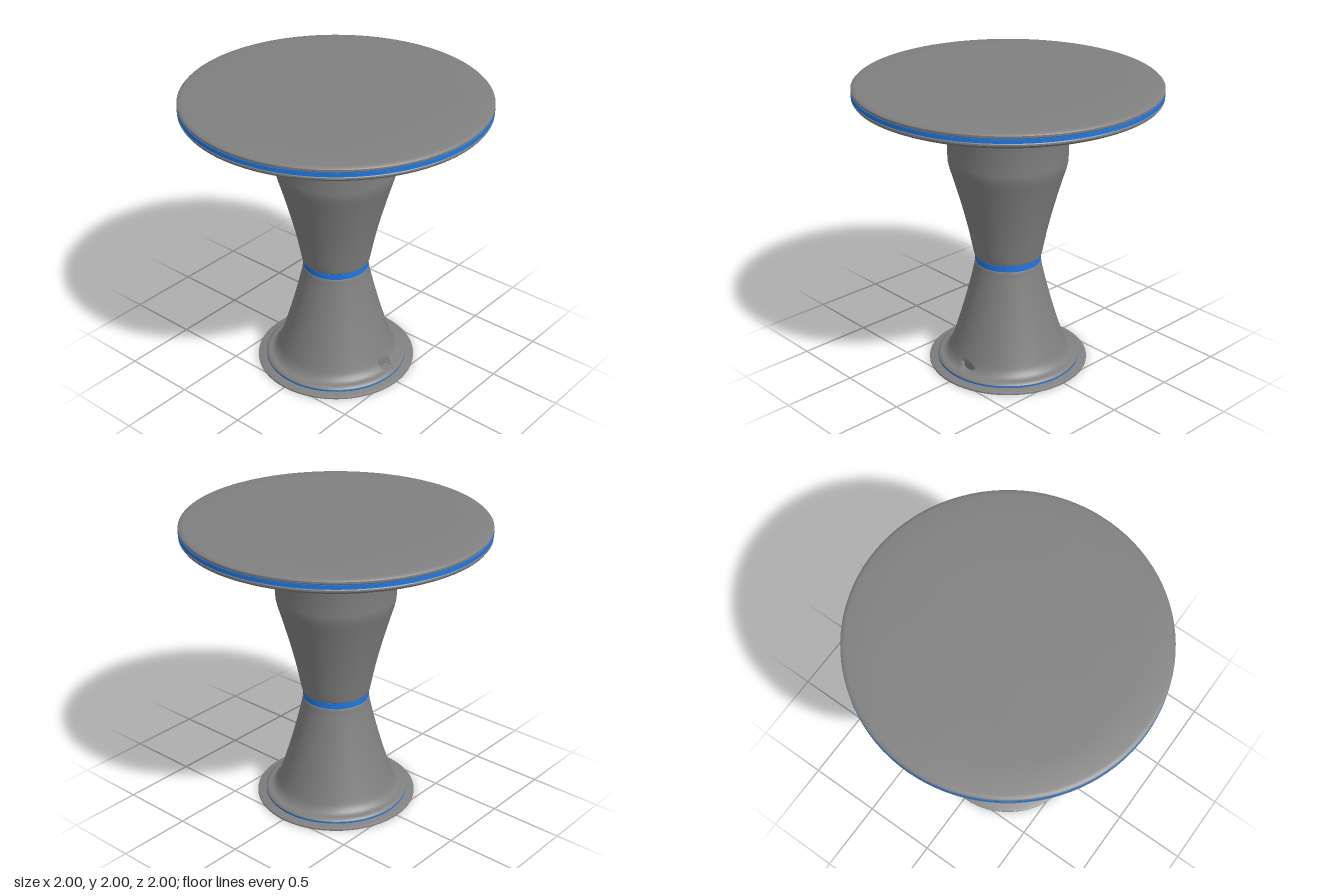
import * as THREE from 'three';
import { toCreasedNormals } from 'three/addons/utils/BufferGeometryUtils.js';

const grey = new THREE.MeshStandardMaterial({ color: 0x808080 });
const blue = new THREE.MeshStandardMaterial({ color: 0x1f78e0 });

// Lathe surface from a profile of [radius, y], bottom to top
function lathe(profile, segments = 96) {
  return new THREE.LatheGeometry(profile.map(([r, y]) => new THREE.Vector2(r, y)), segments);
}

function part(name, geometry, material = grey) {
  const mesh = new THREE.Mesh(toCreasedNormals(geometry, 0.6), material);
  mesh.name = name;
  return mesh;
}

// Smooth curve through [radius, y] points
function smooth(points, count) {
  const curve = new THREE.SplineCurve(points.map(([r, y]) => new THREE.Vector2(r, y)));
  return curve.getPoints(count).map((p) => [p.x, p.y]);
}

// Accent band
function band(name, inner, outer, y0, y1) {
  return part(name, lathe([[inner, y0], [outer, y0], [outer, y1], [inner, y1]]), blue);
}

// Press a round-bottomed cable notch into the +x side of the flare
function carveNotch(geometry) {
  const { position } = geometry.attributes;
  const back = 0.395, centre = -0.038, halfWidth = 0.058, floor = 0.05;
  for (let i = 0; i < position.count; i++) {
    const across = Math.abs(position.getZ(i) - centre) / halfWidth;
    if (across < 1 && position.getX(i) > back && position.getY(i) > floor + 0.025 * across ** 4) {
      position.setX(i, back);
    }
  }
  return geometry;
}

export function createModel() {
  const model = new THREE.Group();

  // Foot
  model.add(part('floorPlate', lathe([[0, 0], [0.545, 0], [0.545, 0.01], [0.53, 0.017], [0, 0.02]])));
  model.add(band('footBand', 0.42, 0.488, 0.019, 0.03));

  // Lower flared column with its cable notch
  model.add(part('lowerColumn', carveNotch(lathe([
    [0.4, 0.03], [0.488, 0.03],
    ...smooth([[0.488, 0.034], [0.472, 0.046], [0.437, 0.056], [0.41, 0.085], [0.39, 0.13],
      [0.35, 0.25], [0.305, 0.4], [0.265, 0.55], [0.234, 0.68], [0.225, 0.73]], 54),
    [0.222, 0.74], [0.215, 0.744], [0.19, 0.744],
  ], 256))));

  // Waist
  model.add(band('waistBand', 0.18, 0.222, 0.744, 0.786));

  // Upper column, widening to a straight collar
  model.add(part('upperColumn', lathe([
    [0.18, 0.786], [0.215, 0.786], [0.225, 0.79],
    ...smooth([[0.229, 0.797], [0.238, 0.84], [0.264, 0.97], [0.3, 1.12], [0.345, 1.285],
      [0.385, 1.42], [0.395, 1.465]], 30),
    [0.396, 1.49], [0.396, 1.765], [0.4, 1.777], [0.413, 1.787],
  ])));

  // Table top
  model.add(part('topUnderside', lathe([
    [0.38, 1.782], [0.413, 1.787], [0.6, 1.822], [0.8, 1.86], [0.92, 1.885],
    [0.97, 1.899], [0.99, 1.909], [0.998, 1.92], [0.998, 1.93], [0.992, 1.937], [0.9, 1.937],
  ])));
  model.add(band('topBand', 0.9, 0.999, 1.937, 1.963));
  model.add(part('topPlate', lathe([
    [0.9, 1.963], [0.992, 1.963], [0.998, 1.969], [0.998, 1.982], [0.99, 1.99], [0.97, 1.994],
    [0.8, 1.997], [0.55, 2], [0, 2],
  ])));

  return model;
}
